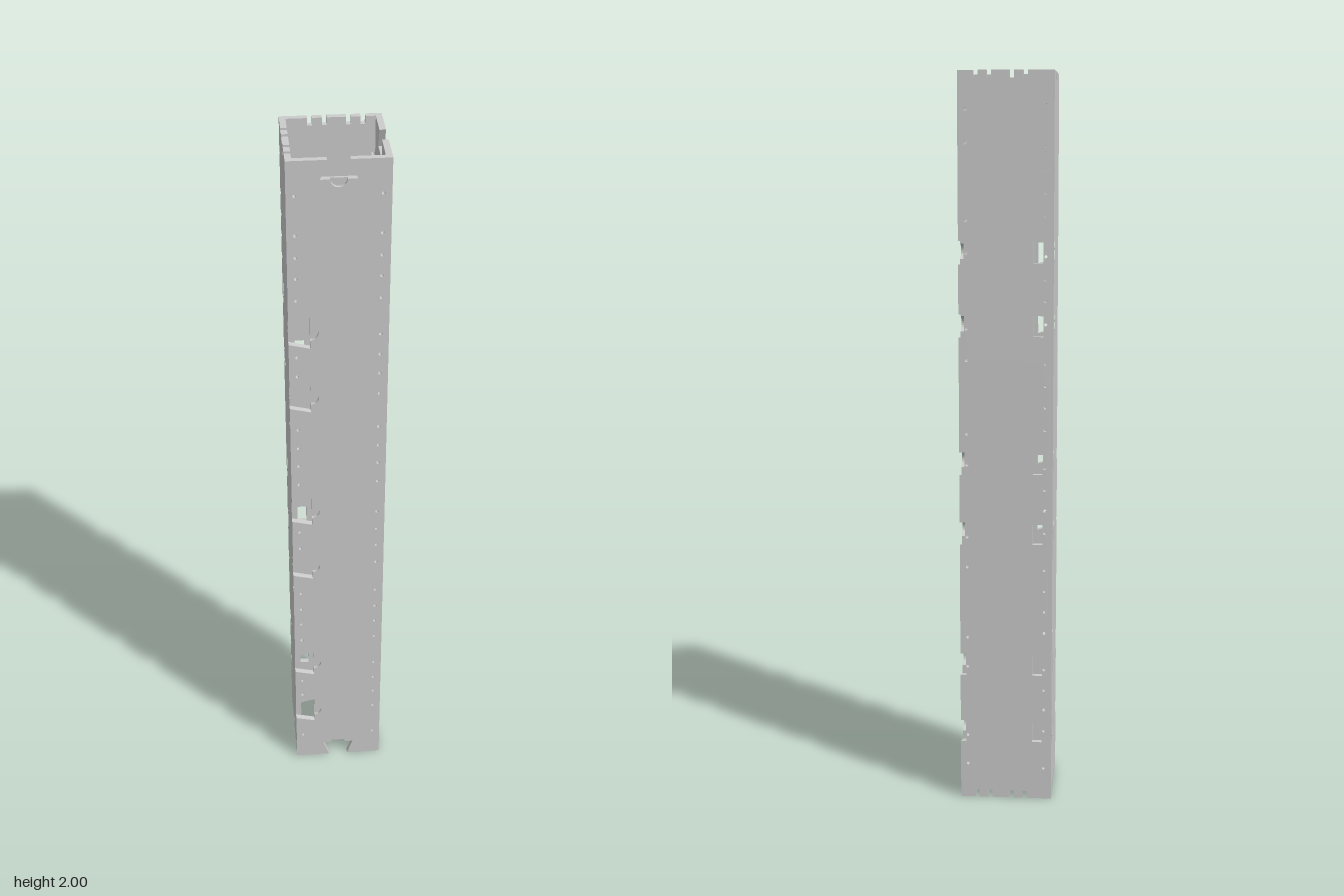
import * as THREE from 'three';

const H = 2, R = 0.127, WALL = 0.016, IN = R - WALL, POCKET = 0.009;

// Heights that repeat along the column
const sideSlots = [], denseHoles = [1.91, 0.09], pairHoles = [], slits = [];
for (let i = 0; i < 3; i++) sideSlots.push(1.53 - i * 0.57, 1.335 - i * 0.57);
for (let i = 0; i < 7; i++) pairHoles.push(1.9 - i * 0.286, 1.815 - i * 0.286);
for (let i = 0; i < 6; i++) {
  const y = 1.745 - i * 0.285;
  slits.push(y, y - 0.058);
  denseHoles.push(y + 0.06, y, y - 0.058, y - 0.12);
}
const clearHoles = denseHoles.filter(y => sideSlots.every(c => Math.abs(y - c) > 0.055));

// Dovetail notch as [distance along the edge, depth], with an optional round pocket at its base
function dovetail(mouth, depth, round) {
  const pts = [[-mouth, 0], [-0.045, depth]];
  if (round) {
    for (let i = 0; i <= 12; i++) {
      const a = Math.PI * i / 12;
      pts.push([-0.021 * Math.cos(a), depth + 0.021 * Math.sin(a)]);
    }
  }
  pts.push([0.045, depth], [mouth, 0]);
  return pts;
}

// Narrow square notches along the ends of the plain walls
const combNotches = [-0.052, -0.016, 0.044, 0.0795].flatMap(c =>
  [[c - 0.006, 0], [c - 0.006, 0.02], [c + 0.006, 0.02], [c + 0.006, 0]]);

function rectHole(u, y, w, h) {
  return [[u - w / 2, y - h / 2], [u + w / 2, y - h / 2], [u + w / 2, y + h / 2], [u - w / 2, y + h / 2]];
}

function roundHole(u, y) {
  return Array.from({ length: 10 }, (_, i) => {
    const a = Math.PI * 2 * i / 10;
    return [u + 0.0045 * Math.cos(a), y + 0.0045 * Math.sin(a)];
  });
}

// One flat wall layer; flip mirrors it across its width
function layer({ u0, u1, ends, sides, holes, flip, z, thickness }) {
  const pts = [[u0, 0]];
  ends.forEach(([t, d]) => pts.push([t, d]));
  pts.push([u1, 0], [u1, H]);
  [...ends].reverse().forEach(([t, d]) => pts.push([t, H - d]));
  pts.push([u0, H]);
  if (sides) {
    for (const c of sideSlots) {
      [...sides].reverse().forEach(([t, d]) => pts.push([u0 + d, c + t]));
    }
  }
  const toVec = list => list.map(([u, y]) => new THREE.Vector2(u * (flip ? -1 : 1), y));
  const shape = new THREE.Shape(toVec(pts));
  shape.holes = holes.map(h => new THREE.Path(toVec(h)));
  return new THREE.ExtrudeGeometry(shape, { depth: thickness, bevelEnabled: false }).translate(0, 0, z);
}

export function createModel() {
  const group = new THREE.Group();
  const material = new THREE.MeshStandardMaterial({ color: 0xcccccc, flatShading: true });
  const add = (parent, name, options) => {
    const mesh = new THREE.Mesh(layer(options), material);
    mesh.name = name;
    parent.add(mesh);
  };
  const wall = (name, turned) => {
    const g = new THREE.Group();
    g.name = name;
    if (turned) g.rotation.y = Math.PI / 2;
    group.add(g);
    return g;
  };
  const column = (u, ys) => ys.map(y => roundHole(u, y));

  // Two walls with dovetails: pocketed outer layer over a plain inner layer
  for (const turned of [false, true]) {
    const g = wall(turned ? 'dovetailSideWall' : 'dovetailFrontWall', turned);
    const holes = [...column(-0.106, clearHoles), ...column(0.106, turned ? pairHoles : denseHoles)];
    if (turned) slits.forEach(y => holes.push(rectHole(0.1185, y, 0.011, 0.004)));
    const base = { u0: -R, u1: turned ? R : IN, holes, flip: turned };
    add(g, 'innerLayer', {
      ...base, z: IN, thickness: WALL - POCKET,
      ends: dovetail(0.028, 0.05, false), sides: dovetail(0.031, 0.055, false),
    });
    add(g, 'outerLayer', {
      ...base, z: R - POCKET, thickness: POCKET,
      ends: dovetail(0.028, 0.05, true), sides: dovetail(0.031, 0.055, true),
    });
  }

  // Two walls with comb-notched ends and upright slots
  for (const turned of [false, true]) {
    const g = wall(turned ? 'slottedSideWall' : 'slottedBackWall', turned);
    const holes = [
      ...sideSlots.map(y => rectHole(-0.0865, y, 0.027, 0.056)),
      ...column(-0.106, denseHoles), ...column(0.106, pairHoles),
    ];
    add(g, 'panel', {
      u0: turned ? -R : -IN, u1: IN, ends: combNotches, holes,
      flip: turned, z: -R, thickness: WALL,
    });
  }
  return group;
}
